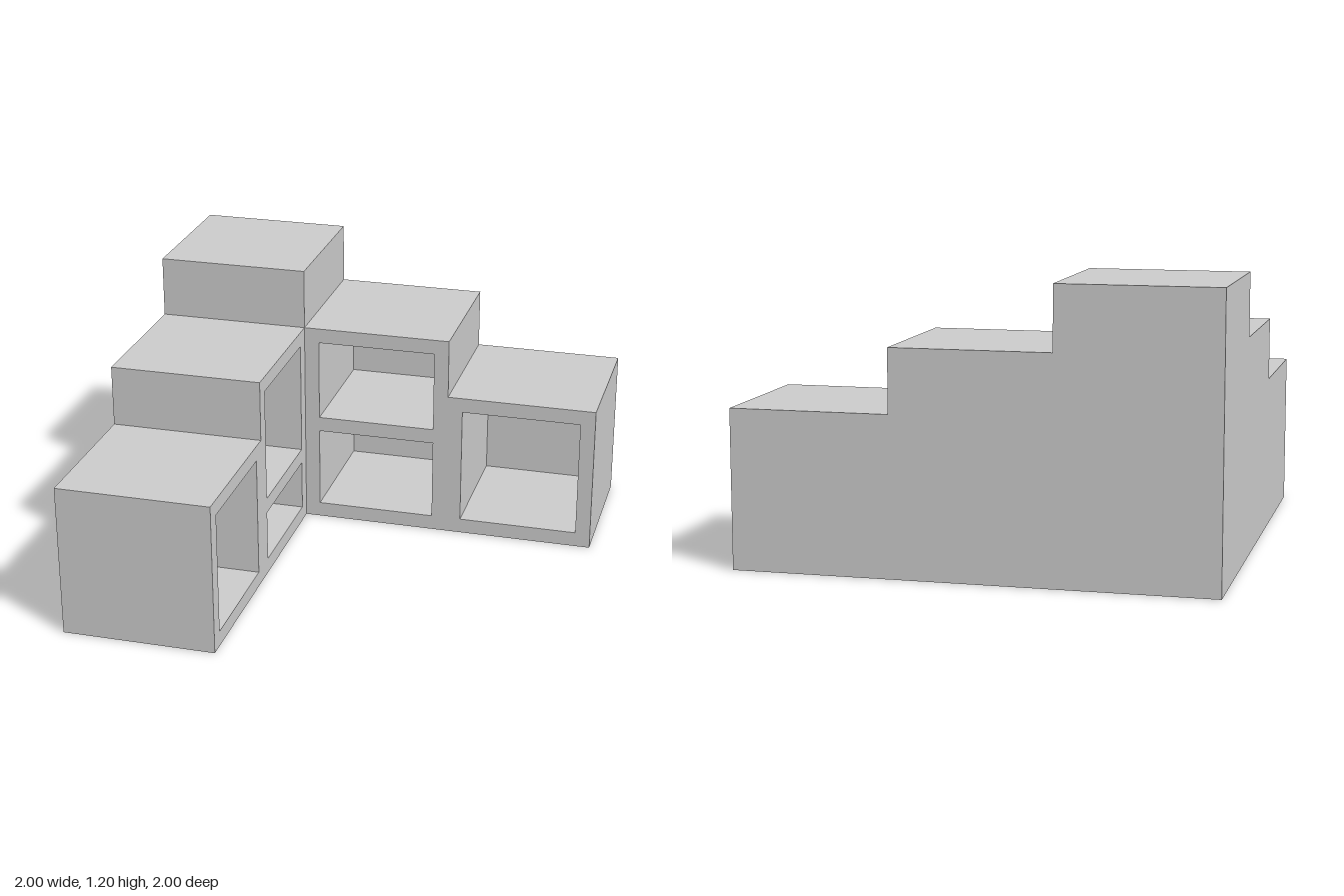
import * as THREE from 'three';
import { mergeGeometries } from 'three/addons/utils/BufferGeometryUtils.js';

const U = 2 / 3;      // side of one storage cube
const H = U / 2;
const T = U / 10;     // board thickness
const MID = 0.933, TALL = 1.2;

// Remove the triangles lying in the plane z = 0; optionally turn the rest inside out
function openFront(geometry, inward = false) {
  const src = geometry.index ? geometry.toNonIndexed() : geometry;
  const p = src.attributes.position;
  const points = [];
  for (let i = 0; i < p.count; i += 3) {
    const order = inward ? [i, i + 2, i + 1] : [i, i + 1, i + 2];
    if (order.every((k) => Math.abs(p.getZ(k)) < 1e-5)) continue;
    for (const k of order) points.push(p.getX(k), p.getY(k), p.getZ(k));
  }
  const out = new THREE.BufferGeometry();
  out.setAttribute('position', new THREE.Float32BufferAttribute(points, 3));
  out.computeVertexNormals();
  return out;
}

const polygon = (pts) => pts.map(([x, y]) => new THREE.Vector2(x, y));

// Stepped wing with its open face on z = 0; bins are [x0, x1, y0, y1], side = -1 mirrors it
function wingGeometry(bins, side) {
  const outline = polygon([
    [-H, 0], [1, 0], [1, U], [H, U], [H, MID], [-H, MID],
  ].map(([x, y]) => [x * side, y]));

  const shell = new THREE.ExtrudeGeometry(new THREE.Shape(outline), { depth: U, bevelEnabled: false });
  shell.translate(0, 0, -U);

  const face = new THREE.Shape(outline);
  const parts = [openFront(shell)];
  for (const [x0, x1, y0, y1] of bins) {
    const hole = polygon([[x0, y0], [x0, y1], [x1, y1], [x1, y0]].map(([x, y]) => [x * side, y]));
    face.holes.push(new THREE.Path(hole));
    // inner lining of the compartment
    const depth = U - T;
    const lining = new THREE.BoxGeometry(x1 - x0, y1 - y0, depth);
    lining.translate(side * (x0 + x1) / 2, (y0 + y1) / 2, -depth / 2);
    parts.push(openFront(lining, true));
  }
  const front = new THREE.ShapeGeometry(face).toNonIndexed();
  front.deleteAttribute('uv');
  parts.push(front);
  return mergeGeometries(parts);
}

export function createModel() {
  const model = new THREE.Group();
  model.name = 'cornerStepShelf';
  const material = new THREE.MeshStandardMaterial({ color: 0xcccccc, flatShading: true });

  const add = (name, geometry) => {
    const mesh = new THREE.Mesh(geometry, material);
    mesh.name = name;
    model.add(mesh);
    return mesh;
  };

  // Closed tower in the corner
  add('cornerTower', new THREE.BoxGeometry(U, TALL, U)).position.set(-U, TALL / 2, -U);

  const endBin = [H + T, 1 - T, T, U - T];
  const a = H - T;

  // Wing along x, open towards the front
  add('backWing', wingGeometry([
    [-a, a, T, 0.433], [-a, a, 0.5, MID - T], endBin,
  ], 1)).position.z = -H;

  // Wing along z, open towards +x
  const sideWing = add('sideWing', wingGeometry([
    [-a, a, T, 0.293], [-a, a, 0.36, MID - T], endBin,
  ], -1));
  sideWing.rotation.y = Math.PI / 2;
  sideWing.position.x = -H;

  return model;
}
